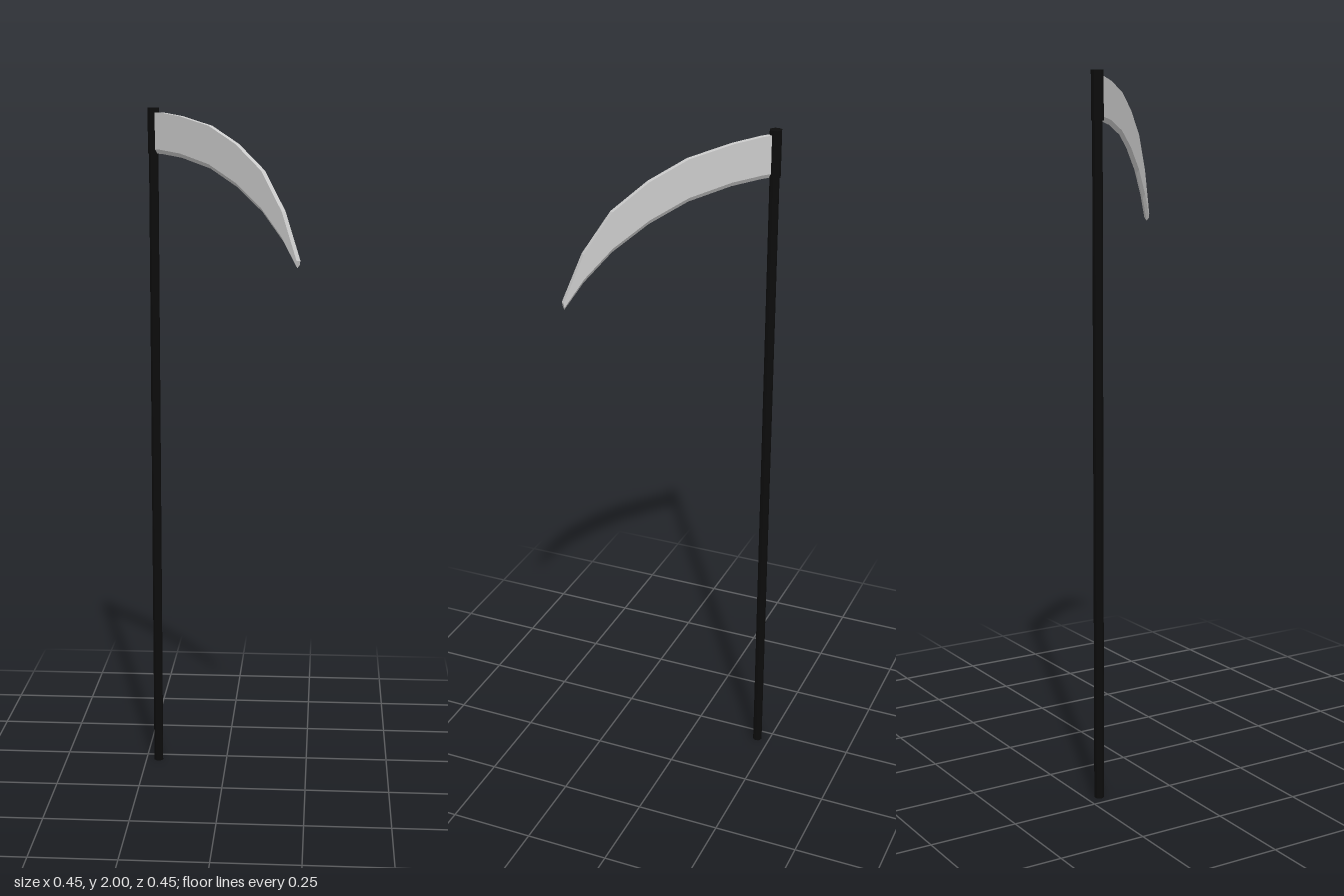
import * as THREE from 'three';

const POLE = -0.212; // pole position on both x and z
const HALF = 0.0072; // half the blade thickness

// Blade stations: [x, back edge y, cutting edge x, cutting edge y]
const STATIONS = [
  [-0.212, 1.987, -0.212, 1.87],
  [-0.185, 1.986, -0.185, 1.869],
  [-0.124, 1.976, -0.122, 1.86],
  [-0.034, 1.95, -0.034, 1.833],
  [0.045, 1.902, 0.045, 1.786],
  [0.119, 1.833, 0.119, 1.722],
  [0.177, 1.728, 0.177, 1.648],
  [0.219, 1.6, 0.216, 1.58],
];

// Five-sided section: flat back, two flat cheeks, bevel down to the cutting edge
function bladeGeometry() {
  const rings = STATIONS.map(([ox, oy, ix, iy]) => {
    const o = [(ox - POLE) * Math.SQRT2, oy];
    const i = [(ix - POLE) * Math.SQRT2, iy];
    const t = 1 - Math.min(0.012 / Math.hypot(o[0] - i[0], o[1] - i[1]), 0.4);
    const b = [o[0] + (i[0] - o[0]) * t, o[1] + (i[1] - o[1]) * t];
    return [[...o, HALF], [...b, HALF], [...i, 0], [...b, -HALF], [...o, -HALF]];
  });
  const pos = [];
  const tri = (a, b, c) => pos.push(...a, ...b, ...c);
  for (let r = 0; r < rings.length - 1; r++) {
    const A = rings[r], B = rings[r + 1];
    for (let k = 0; k < 5; k++) {
      const n = (k + 1) % 5;
      tri(A[k], A[n], B[n]);
      tri(A[k], B[n], B[k]);
    }
  }
  const first = rings[0], last = rings[rings.length - 1];
  for (let k = 1; k < 4; k++) {
    tri(first[0], first[k + 1], first[k]);
    tri(last[0], last[k], last[k + 1]);
  }
  const g = new THREE.BufferGeometry();
  g.setAttribute('position', new THREE.Float32BufferAttribute(pos, 3));
  g.computeVertexNormals();
  return g;
}

export function createModel() {
  const group = new THREE.Group();
  group.name = 'scythe';
  const black = new THREE.MeshStandardMaterial({ color: 0x0c0c0c, flatShading: true });
  const grey = new THREE.MeshStandardMaterial({ color: 0xcccccc, flatShading: true });

  const add = (name, geometry, material, y) => {
    const mesh = new THREE.Mesh(geometry, material);
    mesh.name = name;
    mesh.position.set(POLE, y, POLE);
    group.add(mesh);
    return mesh;
  };

  // Long shaft and the wider collar that holds the blade
  add('shaft', new THREE.CylinderGeometry(0.0138, 0.0138, 1.98, 12), black, 0.99);
  add('collar', new THREE.CylinderGeometry(0.0168, 0.0168, 0.13, 12), black, 1.935);

  // Curved blade, turned to point diagonally forward
  add('blade', bladeGeometry(), grey, 0).rotation.y = -Math.PI / 4;
  return group;
}
